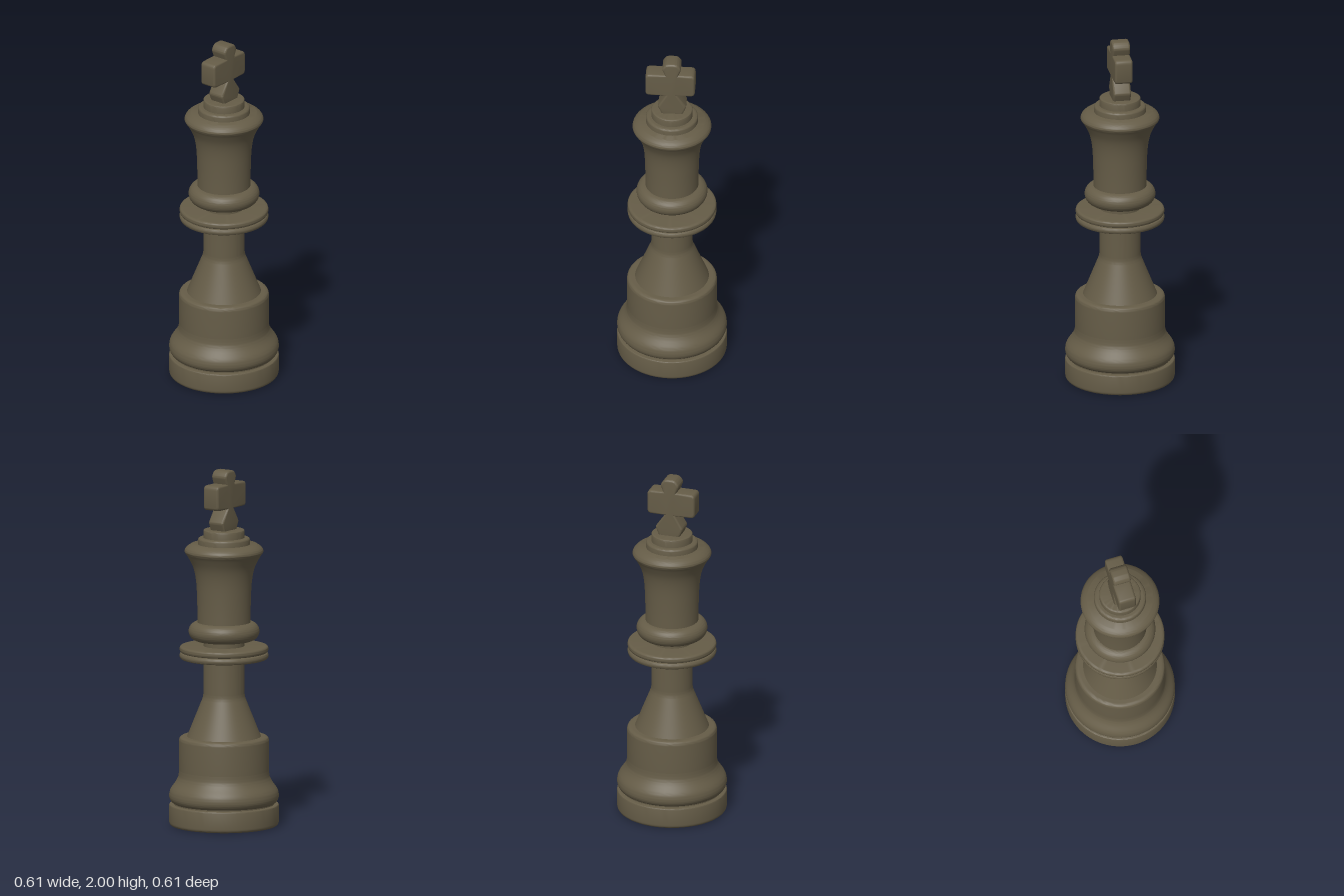
import * as THREE from 'three';
import { toCreasedNormals } from 'three/addons/utils/BufferGeometryUtils.js';

const material = new THREE.MeshStandardMaterial({ color: 0x655c47 });

// Traces [x, y, fillet] corners onto a path, rounding each corner that has a fillet.
function trace(path, corners, closed = false) {
  const n = corners.length;
  const pts = corners.map(([x, y]) => new THREE.Vector2(x, y));
  corners.forEach(([, , fillet = 0], i) => {
    const p = pts[i];
    const ends = closed || (i > 0 && i < n - 1);
    const toward = (q) => p.clone().add(q.clone().sub(p).setLength(fillet));
    const a = ends && fillet ? toward(pts[(i + n - 1) % n]) : p;
    if (i === 0) path.moveTo(a.x, a.y);
    else path.lineTo(a.x, a.y);
    if (ends && fillet) {
      const b = toward(pts[(i + 1) % n]);
      path.quadraticCurveTo(p.x, p.y, b.x, b.y);
    }
  });
  if (closed) path.closePath();
  return path;
}

function mesh(name, geometry) {
  const m = new THREE.Mesh(toCreasedNormals(geometry, 0.6), material);
  m.name = name;
  return m;
}

// Turned part from a profile running bottom to top.
const turned = (name, points) => mesh(name, new THREE.LatheGeometry(points, 72));
const turnedCorners = (name, corners) => turned(name, trace(new THREE.Path(), corners).getPoints(6));

// Disc with rounded rims.
const disc = (name, r, y0, y1, low, high = low) =>
  turnedCorners(name, [[0, y0], [r, y0, low], [r, y1, high], [0, y1]]);

// Turned part with flat ends and a flowing side.
function flowing(name, side) {
  const curve = new THREE.SplineCurve(side.map(([r, y]) => new THREE.Vector2(r, y)));
  const points = curve.getPoints(36);
  points.unshift(new THREE.Vector2(0, points[0].y));
  points.push(new THREE.Vector2(0, points[points.length - 1].y));
  return turned(name, points);
}

export function createModel() {
  const group = new THREE.Group();
  group.name = 'chessKing';

  // Foot
  group.add(disc('basePlate', 0.305, 0, 0.12, 0.022, 0.008));
  group.add(disc('baseGroove', 0.28, 0.11, 0.14, 0));
  group.add(flowing('baseBulge', [
    [0.28, 0.126], [0.296, 0.138], [0.305, 0.163], [0.298, 0.2],
    [0.268, 0.245], [0.254, 0.275], [0.25, 0.31],
  ]));
  group.add(disc('baseDrum', 0.25, 0.3, 0.5, 0, 0.025));

  // Stem
  group.add(turnedCorners('stem', [
    [0, 0.49], [0.209, 0.49], [0.205, 0.5], [0.115, 0.725, 0.02], [0.115, 1.06], [0, 1.06],
  ]));

  // Collars
  for (const y of [0.937, 0.974]) group.add(disc('collarRing', 0.247, y, y + 0.036, 0.017));
  const bead = new THREE.Path().moveTo(0, 1.04).lineTo(0.145, 1.04);
  bead.absarc(0.145, 1.092, 0.052, -Math.PI / 2, Math.PI / 2, false).lineTo(0, 1.144);
  group.add(turned('collarBead', bead.getPoints(20)));

  // Flared body and crown steps
  group.add(flowing('body', [
    [0.148, 1.13], [0.149, 1.25], [0.155, 1.37], [0.171, 1.45], [0.2, 1.51],
    [0.218, 1.537], [0.217, 1.553], [0.205, 1.568], [0.182, 1.583],
  ]));
  group.add(disc('crownStepLower', 0.145, 1.575, 1.62, 0, 0.018));
  group.add(disc('crownStepUpper', 0.115, 1.61, 1.665, 0, 0.012));

  // Cross with its arms along z
  const outline = trace(new THREE.Shape(), [
    [-0.06, 1.655], [-0.084, 1.71, 0.012], [-0.03, 1.785],
    [-0.13, 1.785, 0.025], [-0.13, 1.925, 0.025], [-0.038, 1.925],
    [-0.055, 1.967, 0.014], [-0.032, 2.0, 0.018], [0.032, 2.0, 0.018], [0.055, 1.967, 0.014],
    [0.038, 1.925], [0.146, 1.925, 0.025], [0.146, 1.785, 0.025],
    [0.03, 1.785], [0.078, 1.71, 0.012], [0.054, 1.655],
  ], true);
  const bevel = 0.012;
  const cross = new THREE.ExtrudeGeometry(outline, {
    depth: 0.1 - 2 * bevel, curveSegments: 5, bevelEnabled: true,
    bevelSize: bevel, bevelThickness: bevel, bevelOffset: -bevel, bevelSegments: 4,
  });
  cross.translate(0, 0, bevel - 0.05).rotateY(-Math.PI / 2);
  group.add(mesh('cross', cross));

  return group;
}
